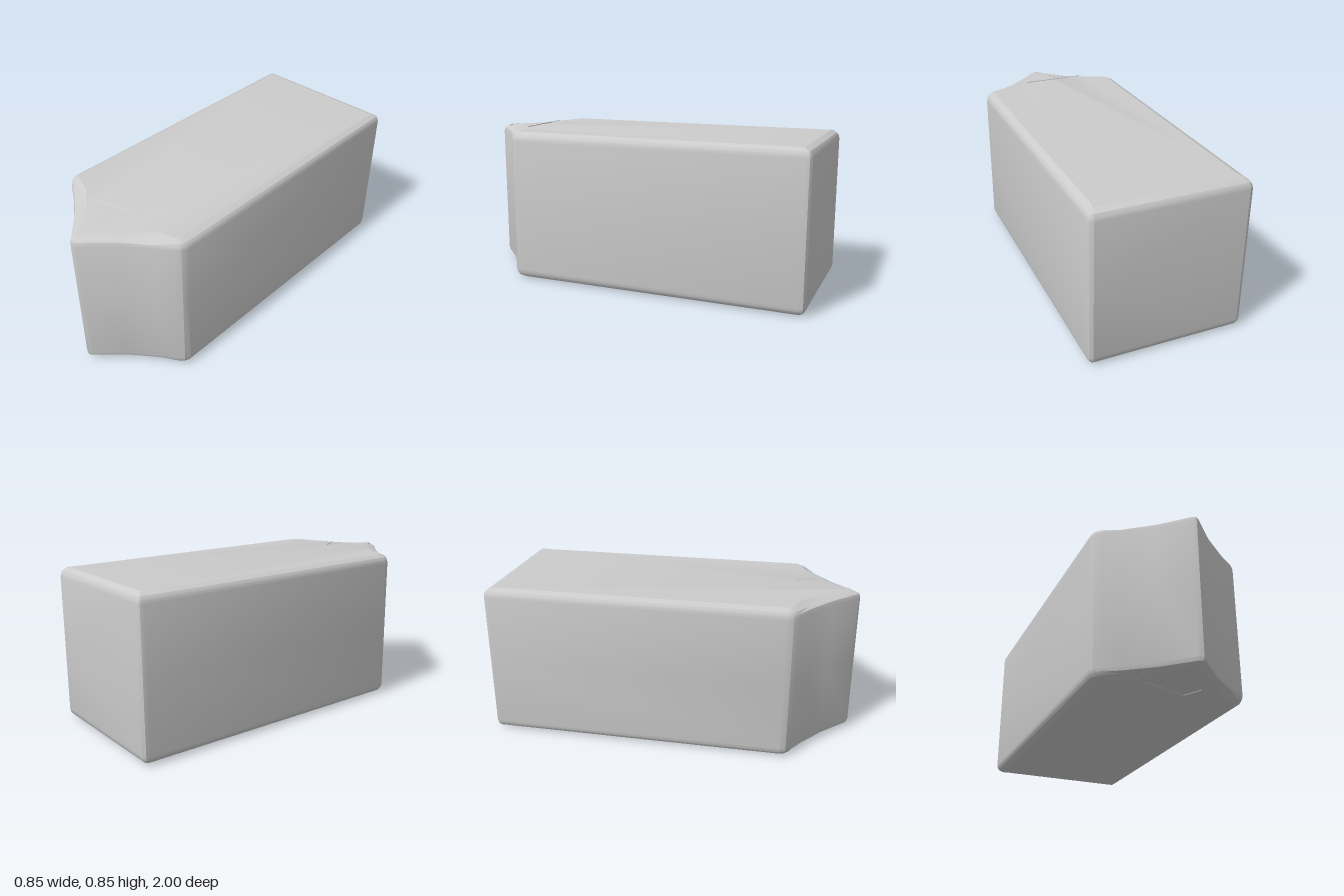
import * as THREE from 'three';
import { toCreasedNormals } from 'three/addons/utils/BufferGeometryUtils.js';

const HEIGHT = 0.85;

// Right half of the plan, from the back corner round to the tip: x, z
const half = [[0.4, -1], [0.418, -0.99], [0.424, -0.97], [0.424, 0.64], [0.412, 0.67],
  [0.385, 0.695], [0.3, 0.75], [0.16, 0.855], [0.02, 0.99]];
const plan = [...half, [0, 1], ...half.slice().reverse().map(([x, z]) => [-x, z])]
  .map(([x, z]) => new THREE.Vector2(x, z));

// Plan moved inwards by d along mitred normals, a little further round the prow
function insetPlan(d) {
  return plan.map((p, i) => {
    const a = plan[(i + plan.length - 1) % plan.length];
    const b = plan[(i + 1) % plan.length];
    const t1 = p.clone().sub(a).normalize();
    const t2 = b.clone().sub(p).normalize();
    const n = new THREE.Vector2(-t1.y - t2.y, t1.x + t2.x).normalize();
    const mitre = Math.max(0.7, n.dot(new THREE.Vector2(-t1.y, t1.x)));
    const prow = p.y > 0.7 ? 1.5 : 1;
    return p.clone().addScaledVector(n, (d * prow) / mitre);
  });
}

// Upper half of the block as a list of triangle corners
function upperHalf() {
  const out = [];
  const tri = (a, b, c) => out.push(a, b, c);
  const at = (p, y) => new THREE.Vector3(p.x, y, p.y);

  // Walls and rounded rim: inset, height
  const levels = [[0, HEIGHT / 2], [0, 0.8], [0.004, 0.82], [0.014, 0.835], [0.045, HEIGHT]];
  const rings = levels.map(([d, y]) => insetPlan(d).map((p) => {
    // The top sags slightly towards the front
    const sag = y > 0.83 && p.y > 0.7 ? 0.007 : 0;
    return at(p, y - sag);
  }));
  for (let r = 0; r < rings.length - 1; r++) {
    for (let i = 0; i < plan.length; i++) {
      const j = (i + 1) % plan.length;
      tri(rings[r][i], rings[r + 1][i], rings[r][j]);
      tri(rings[r][j], rings[r + 1][i], rings[r + 1][j]);
    }
  }

  // Flat cap with a three-cornered opening
  const rim = rings[rings.length - 1];
  const dent = [[-0.24, 0.745], [0.08, 0.65], [0.13, 0.745]]
    .map(([x, z]) => new THREE.Vector3(x, HEIGHT - 0.002, z));
  const flat = (list) => list.map((v) => new THREE.Vector2(v.x, v.z));
  const corners = [...rim, ...dent];
  const up = (a, b, c) => {
    const ny = (b.z - a.z) * (c.x - a.x) - (b.x - a.x) * (c.z - a.z);
    if (ny > 0) tri(a, b, c); else tri(a, c, b);
  };
  for (const [a, b, c] of THREE.ShapeUtils.triangulateShape(flat(rim), [flat(dent)])) {
    up(corners[a], corners[b], corners[c]);
  }

  // Sunken facets meeting at a low point by the front edge of the dent
  const low = new THREE.Vector3(0.07, HEIGHT - 0.1, 0.735);
  dent.forEach((v, i) => up(v, dent[(i + 1) % 3], low));
  return out;
}

export function createModel() {
  const group = new THREE.Group();
  group.name = 'pointedBlock';
  const material = new THREE.MeshStandardMaterial({ color: 0xcccccc });

  const top = upperHalf();
  const bottom = top.map((v) => new THREE.Vector3(v.x, HEIGHT - v.y, v.z));
  for (let i = 0; i < bottom.length; i += 3) {
    [bottom[i], bottom[i + 1]] = [bottom[i + 1], bottom[i]];
  }

  const geometry = new THREE.BufferGeometry().setFromPoints([...top, ...bottom]);
  const body = new THREE.Mesh(toCreasedNormals(geometry, 0.4), material);
  body.name = 'blockBody';
  group.add(body);
  return group;
}
